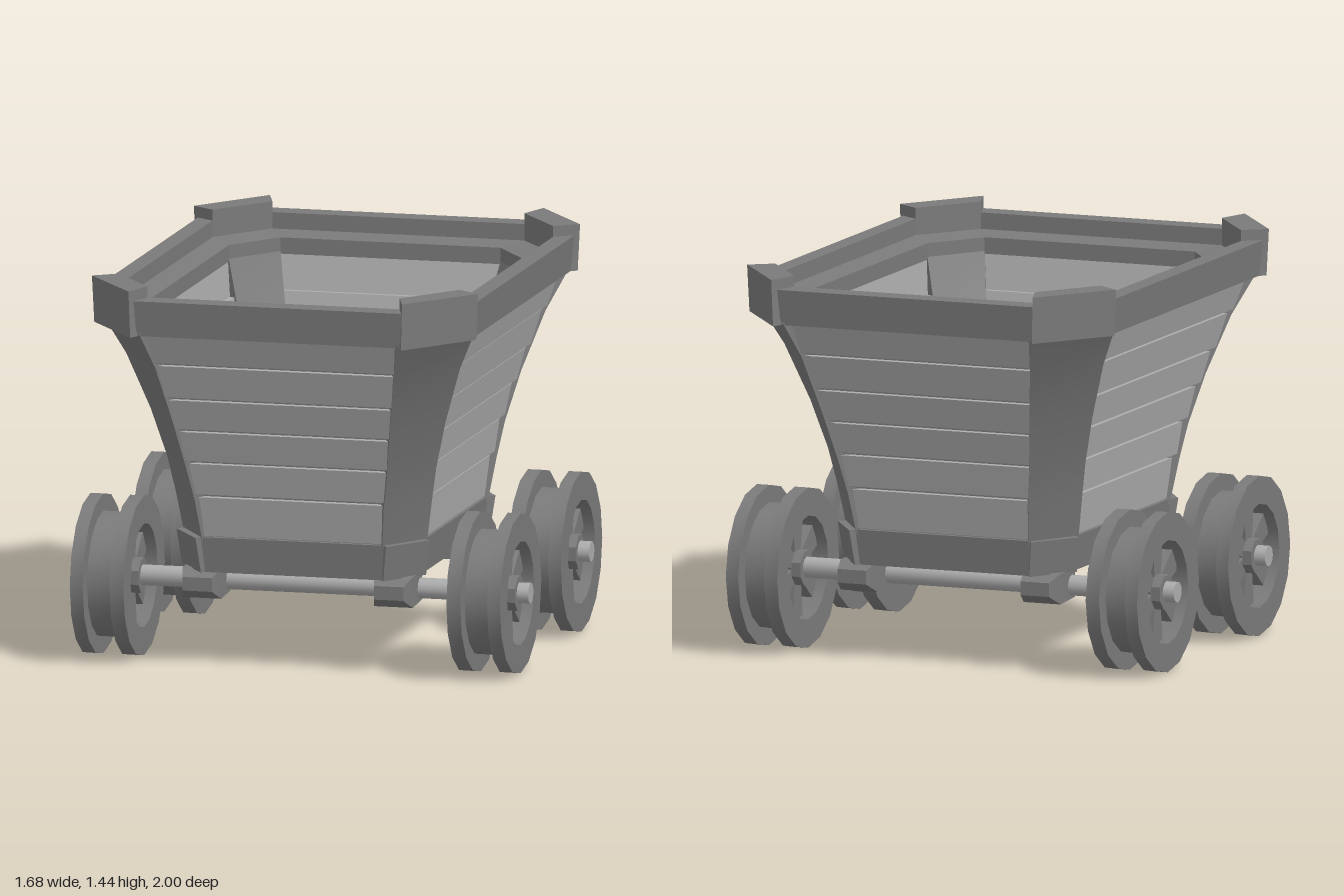
import * as THREE from 'three';
import { toCreasedNormals } from 'three/addons/utils/BufferGeometryUtils.js';

// dark frame and wheels, paler planks, floor and axles
const dark = new THREE.MeshStandardMaterial({ color: 0x7a7a7a, side: THREE.DoubleSide });
const pale = new THREE.MeshStandardMaterial({ color: 0xacacac, side: THREE.DoubleSide });

// Solid joining a row of equal-sized cross-section loops, capped at both ends
function loft(loops) {
  const tris = [];
  const n = loops[0].length;
  for (let k = 0; k + 1 < loops.length; k++) {
    for (let i = 0; i < n; i++) {
      const j = (i + 1) % n;
      const [a, b, c, d] = [loops[k][i], loops[k][j], loops[k + 1][j], loops[k + 1][i]];
      tris.push([a, b, c], [a, c, d]);
    }
  }
  const end = loops[loops.length - 1];
  for (const [a, b, c] of THREE.ShapeUtils.triangulateShape(flatten(loops[0]), [])) {
    tris.push([loops[0][a], loops[0][c], loops[0][b]], [end[a], end[b], end[c]]);
  }
  // turn the faces outward when the solid is inside out
  let volume = 0;
  for (const [a, b, c] of tris) {
    volume += new THREE.Vector3(...a).dot(new THREE.Vector3(...b).cross(new THREE.Vector3(...c)));
  }
  if (volume < 0) tris.forEach((t) => t.reverse());
  const geometry = new THREE.BufferGeometry();
  geometry.setAttribute('position', new THREE.Float32BufferAttribute(tris.flat(2), 3));
  return geometry;
}

// Loop seen along its own normal, counter-clockwise
function flatten(loop) {
  const points = loop.map((p) => new THREE.Vector3(...p));
  const normal = new THREE.Vector3();
  points.forEach((p, i) => normal.add(p.clone().cross(points[(i + 1) % points.length])));
  normal.normalize();
  const u = points[1].clone().sub(points[0]).normalize();
  const v = normal.clone().cross(u);
  return points.map((p) => new THREE.Vector2(p.dot(u), p.dot(v)));
}

function add(parent, name, geometry, material, x = 0, y = 0, z = 0) {
  const mesh = new THREE.Mesh(toCreasedNormals(geometry, 0.6), material);
  mesh.name = name;
  mesh.position.set(x, y, z);
  parent.add(mesh);
  return mesh;
}

// Bar along one wall; profile points are [distance from centre, height, half length]
function wallBar(parent, name, material, profile, alongX, side) {
  const loops = [-1, 1].map((e) => profile.map(([w, y, h]) =>
    alongX ? [e * h, y, side * w] : [side * w, y, e * h]));
  add(parent, name, loft(loops), material);
}

// Value at height y in a list of [height, value]
function sample(list, y) {
  let i = 0;
  while (i < list.length - 2 && y > list[i + 1][0]) i++;
  const [[y0, v0], [y1, v1]] = [list[i], list[i + 1]];
  return v0 + (v1 - v0) * (y - y0) / (y1 - y0);
}

// Post rows: height, end-side edge x z, side edge x z, blend of the inner face
const postRows = [
  [0.46, 0.335, 0.615, 0.452, 0.43, 0],
  [0.62, 0.352, 0.66, 0.478, 0.457, 0.14],
  [0.75, 0.375, 0.7, 0.502, 0.485, 0.3],
  [0.93, 0.405, 0.775, 0.55, 0.535, 0.54],
  [1.14, 0.445, 0.868, 0.622, 0.605, 0.83],
  [1.28, 0.48, 0.965, 0.69, 0.665, 1],
];

const walls = [
  { name: 'end', alongX: true,
    outer: [[0.48, 0.595], [0.62, 0.635], [0.75, 0.68], [0.9, 0.745], [1.02, 0.8], [1.14, 0.852], [1.27, 0.92]],
    inner: [[0.48, 0.48], [0.75, 0.575], [1.02, 0.69], [1.27, 0.785]],
    half: postRows.map((r) => [r[0], r[1]]) },
  { name: 'side', alongX: false,
    outer: [[0.48, 0.43], [0.62, 0.455], [0.75, 0.482], [0.9, 0.525], [1.02, 0.565], [1.14, 0.607], [1.27, 0.66]],
    inner: [[0.48, 0.345], [0.62, 0.385], [0.75, 0.424], [1.02, 0.505], [1.27, 0.568]],
    half: postRows.map((r) => [r[0], r[4]]) },
];
const seams = [0.47, 0.63, 0.76, 0.885, 1.01, 1.145, 1.28];

// Planks of one wall, overlapping outside and stepped into ledges inside
function planks(parent, wall, side) {
  for (let i = 0; i < 6; i++) {
    const [lo, hi] = [seams[i], seams[i + 1]];
    const point = (line, y, d) => [sample(line, y) + d, y, sample(wall.half, y)];
    wallBar(parent, wall.name + 'Plank', pale, [
      point(wall.outer, lo, -0.03), point(wall.outer, lo + 0.014, 0.012), point(wall.outer, hi, 0),
      point(wall.inner, hi, -0.016), point(wall.inner, lo, 0.004),
    ], wall.alongX, side);
  }
}

function corner(parent, sx, sz) {
  const at = (x, y, z) => [sx * x, y, sz * z];
  const mix = THREE.MathUtils.lerp;
  add(parent, 'cornerPost', loft(postRows.map(([y, ax, az, bx, bz, s]) => [
    at(ax, y, az), at(bx, y, bz),
    at(mix(0.33, 0.55, s), y, mix(0.34, 0.57, s)),
    at(mix(0.245, 0.41, s), y, mix(0.44, 0.77, s)),
  ])), dark);
  // raised cap on the rim corner, with the inner ledge
  add(parent, 'rimCorner', loft([
    [at(0.505, 1.27, 0.995), at(0.51, 1.44, 1), at(0.47, 1.44, 0.88), at(0.47, 1.34, 0.88), at(0.41, 1.33, 0.77), at(0.41, 1.27, 0.77)],
    [at(0.712, 1.27, 0.717), at(0.72, 1.44, 0.72), at(0.635, 1.44, 0.66), at(0.635, 1.34, 0.66), at(0.55, 1.33, 0.57), at(0.55, 1.27, 0.57)],
  ]), dark);
  // foot block of the post
  add(parent, 'baseCorner', loft([
    [at(0.34, 0.35, 0.62), at(0.355, 0.48, 0.64), at(0.25, 0.48, 0.45), at(0.25, 0.35, 0.45)],
    [at(0.455, 0.35, 0.45), at(0.472, 0.48, 0.465), at(0.33, 0.48, 0.345), at(0.33, 0.35, 0.345)],
  ]), dark);
  // axle bracket under the corner, tapering to a blunt outer tip
  const section = (z, hw, lo, hi) => [
    at(0.357 - hw, lo, z), at(0.357 + hw, lo, z), at(0.357 + hw, hi, z), at(0.357 - hw, hi, z)];
  add(parent, 'axleBracket', loft([
    section(0.4, 0.07, 0.25, 0.355), section(0.54, 0.072, 0.243, 0.355), section(0.61, 0.055, 0.28, 0.33),
  ]), dark);
}

// Spoked wheel with two flanges, axis along x
function wheel(parent, side, z) {
  const group = new THREE.Group();
  group.name = 'wheel';
  group.position.set(side * 0.702, 0.295, z);
  const profile = [[0.19, -0.1], [0.293, -0.1], [0.293, -0.048], [0.23, -0.048],
    [0.23, 0.052], [0.293, 0.052], [0.293, 0.1], [0.19, 0.1], [0.19, -0.1]];
  const rim = new THREE.LatheGeometry(profile.map((p) => new THREE.Vector2(...p)), 16);
  add(group, 'wheelRim', rim.rotateZ(-side * Math.PI / 2), dark);
  const hub = new THREE.CylinderGeometry(0.066, 0.066, 0.19, 8).rotateY(Math.PI / 8);
  add(group, 'hub', hub.rotateZ(Math.PI / 2), dark);
  for (let i = 0; i < 6; i++) {
    const ring = (y, w) => [[-0.06, y, -w], [0.06, y, -w], [0.06, y, w], [-0.06, y, w]];
    add(group, 'spoke', loft([ring(0.04, 0.027), ring(0.2, 0.048)]), dark).rotation.x = i * Math.PI / 3;
  }
  parent.add(group);
}

export function createModel() {
  const cart = new THREE.Group();
  cart.name = 'mineCart';
  for (const side of [-1, 1]) {
    for (const wall of walls) planks(cart, wall, side);
    // top rim with a lower inner ledge
    wallBar(cart, 'endRim', dark, [[0.955, 1.27, 0.5], [0.97, 1.4, 0.5], [0.88, 1.4, 0.47],
      [0.88, 1.34, 0.47], [0.77, 1.33, 0.41], [0.77, 1.27, 0.41]], true, side);
    wallBar(cart, 'sideRim', dark, [[0.69, 1.27, 0.71], [0.702, 1.4, 0.71], [0.635, 1.4, 0.66],
      [0.635, 1.34, 0.66], [0.55, 1.33, 0.57], [0.55, 1.27, 0.57]], false, side);
    // rails around the floor
    wallBar(cart, 'endBaseRail', dark, [[0.6, 0.35, 0.345], [0.615, 0.48, 0.35], [0.47, 0.48, 0.26], [0.47, 0.35, 0.26]], true, side);
    wallBar(cart, 'sideBaseRail', dark, [[0.435, 0.35, 0.455], [0.45, 0.48, 0.46], [0.33, 0.48, 0.35], [0.33, 0.35, 0.35]], false, side);
    // axle, wheels and corners
    const axle = new THREE.CylinderGeometry(0.038, 0.038, 1.68, 12);
    add(cart, 'axle', axle.rotateZ(Math.PI / 2), pale, 0, 0.297, side * 0.43);
    for (const sx of [-1, 1]) {
      wheel(cart, sx, side * 0.43);
      corner(cart, sx, side);
    }
  }
  add(cart, 'floor', new THREE.BoxGeometry(0.7, 0.135, 0.98), pale, 0, 0.4145, 0);
  return cart;
}
